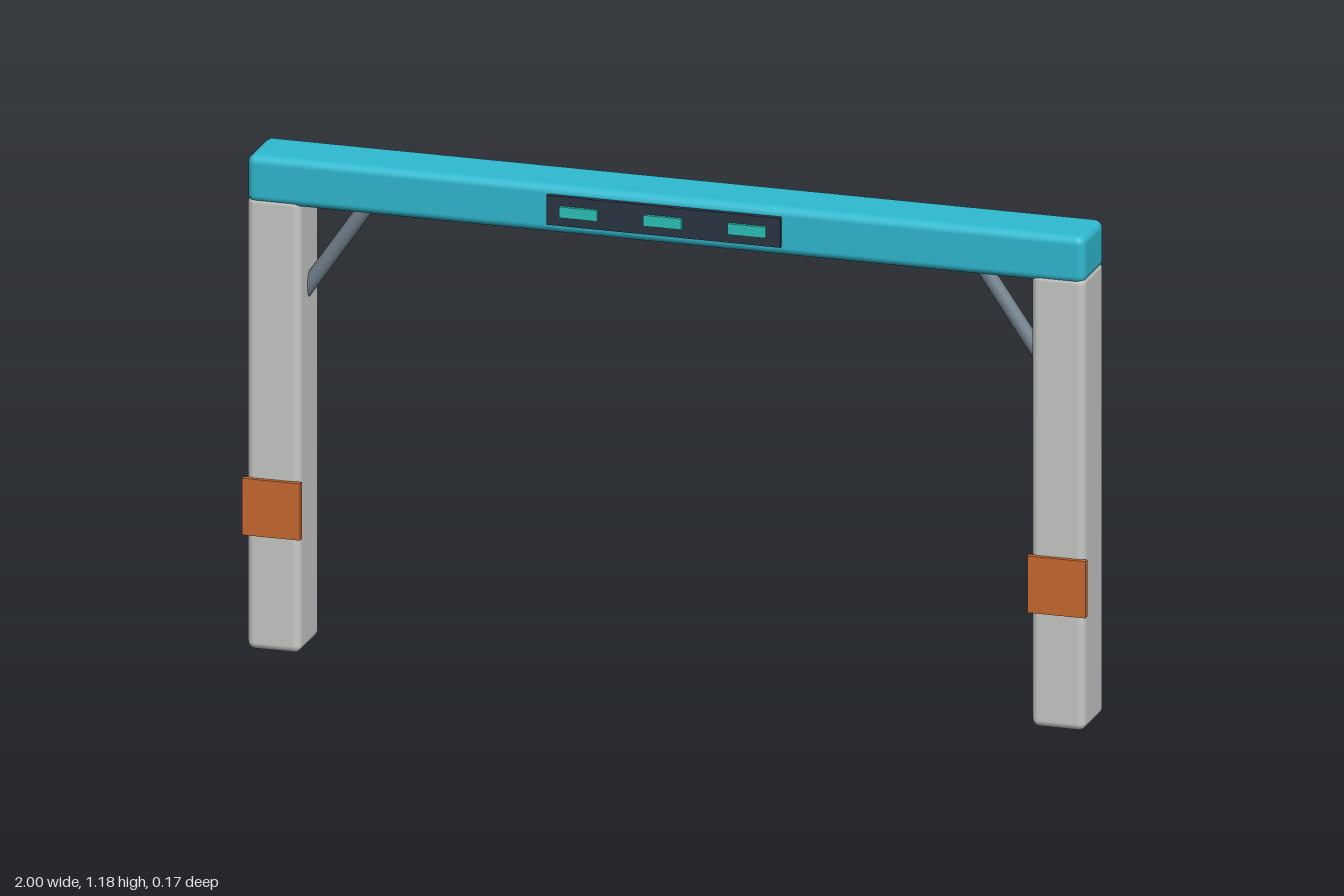
import * as THREE from 'three';
import { RoundedBoxGeometry } from 'three/addons/geometries/RoundedBoxGeometry.js';

const mat = (name, color) => {
  const m = new THREE.MeshStandardMaterial({ color });
  m.name = name;
  return m;
};

export function createModel() {
  const group = new THREE.Group();
  const teal = mat('beam teal', 0x2fbad0);
  const grey = mat('post grey', 0xc8cac8);
  const orange = mat('plate orange', 0xc96a30);
  const dark = mat('panel dark', 0x2b3542);
  const steel = mat('brace steel', 0x71808c);
  const glow = mat('light turquoise', 0x2cc4b8);

  const add = (name, geometry, material, x, y, z) => {
    const mesh = new THREE.Mesh(geometry, material);
    mesh.name = name;
    mesh.position.set(x, y, z);
    group.add(mesh);
    return mesh;
  };

  // Crossbeam
  add('crossbeam', new RoundedBoxGeometry(1.986, 0.114, 0.154, 4, 0.02), teal, 0, 1.119, -0.01);

  // Control panel with three lights on the front of the beam
  add('panel', new THREE.BoxGeometry(0.554, 0.07, 0.014), dark, 0, 1.121, 0.072);
  for (const x of [-0.2, 0, 0.2]) {
    add('panelLight', new THREE.BoxGeometry(0.09, 0.026, 0.009), glow, x, 1.121, 0.0825);
  }

  // Mirrored posts, plates and diagonal braces
  const up = new THREE.Vector3(0, 1, 0);
  for (const [side, s] of [['left', 1], ['right', -1]]) {
    add(side + 'Post', new RoundedBoxGeometry(0.127, 1.08, 0.148, 4, 0.018), grey, s * 0.93, 0.54, -0.009);
    add(side + 'Plate', new THREE.BoxGeometry(0.138, 0.135, 0.014), orange, s * 0.931, 0.343, 0.069);

    const low = new THREE.Vector3(s * 0.885, 0.834, -0.01);
    const high = new THREE.Vector3(s * 0.708, 1.091, -0.01);
    const dir = high.clone().sub(low);
    const mid = low.clone().add(high).multiplyScalar(0.5);
    const brace = add(side + 'Brace', new THREE.CylinderGeometry(0.018, 0.018, dir.length(), 16), steel, mid.x, mid.y, mid.z);
    brace.quaternion.setFromUnitVectors(up, dir.normalize());
  }
  return group;
}
